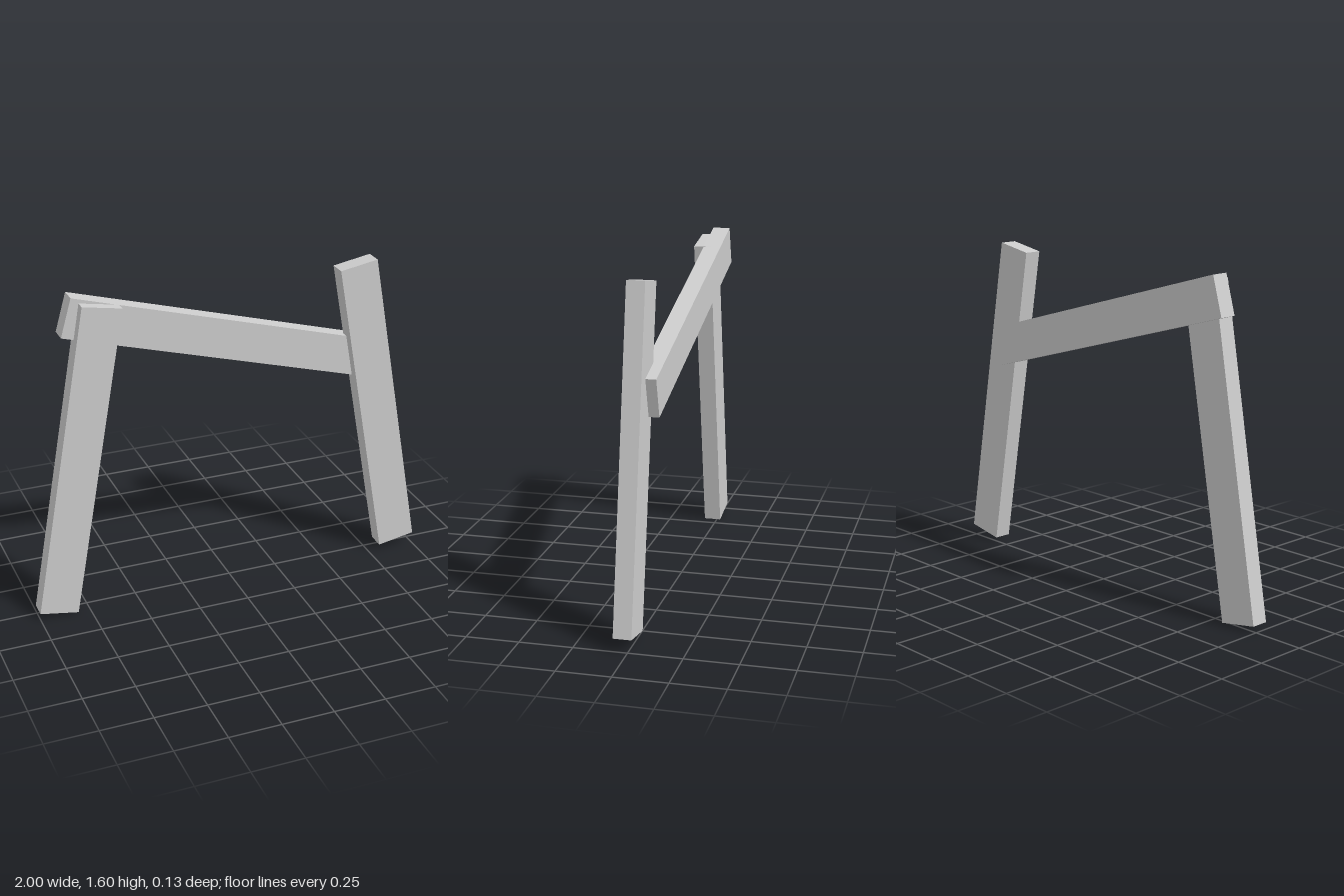
import * as THREE from 'three';

export function createModel() {
  const group = new THREE.Group();
  const material = new THREE.MeshStandardMaterial({ color: 0xcccccc, flatShading: true });
  const plank = new THREE.BoxGeometry(0.192, 1.562, 0.085);

  // One plank, leaning by an angle in degrees about z
  function addPlank(name, x, y, z, degrees) {
    const mesh = new THREE.Mesh(plank, material);
    mesh.name = name;
    mesh.position.set(x, y, z);
    mesh.rotation.z = THREE.MathUtils.degToRad(degrees);
    group.add(mesh);
  }

  // Two legs leaning inwards
  addPlank('rightLeg', -0.769, 0.787, 0.0245, -10);
  addPlank('leftLeg', 0.769, 0.815, 0.0245, 10);

  // Sloping crossbar let into the back of the legs
  addPlank('crossbar', -0.039, 1.295, -0.0245, 74);

  return group;
}
